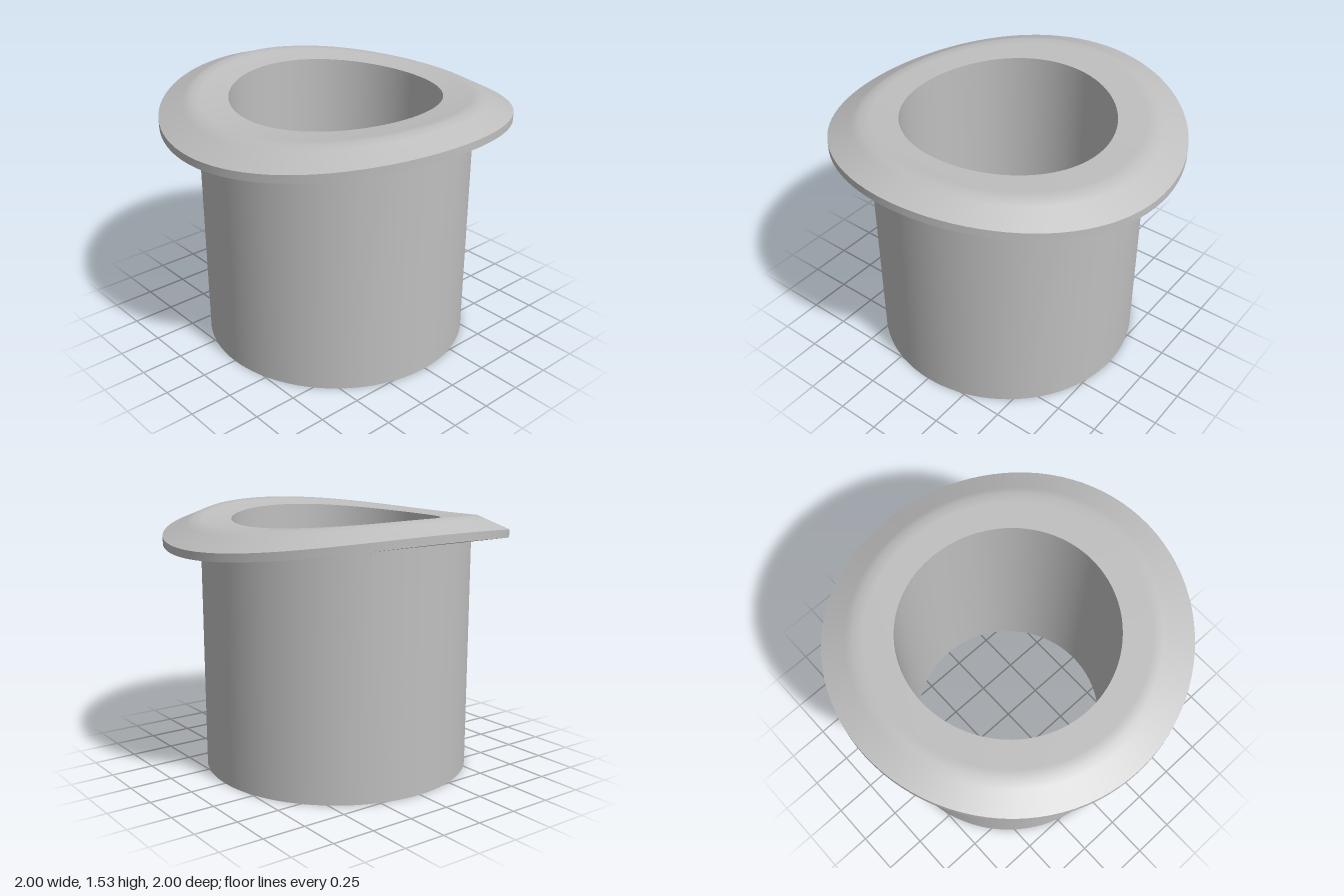
import * as THREE from 'three';

const SEGMENTS = 96;
const BEND = 0.108; // rise of the saddle toward front and back

// Sweeps a profile of [radius, height, bend] around y; height grows with bend * z^2.
// Every strip is smooth in itself and has a sharp edge to its neighbours.
function ringStrip(profile, steps = 1) {
  const rings = [];
  profile.forEach((p, i) => {
    if (i === 0) return rings.push(p);
    const q = profile[i - 1];
    for (let s = 1; s <= steps; s++) rings.push(p.map((v, k) => q[k] + (v - q[k]) * s / steps));
  });
  const positions = [], index = [];
  rings.forEach(([r, y, bend], i) => {
    for (let j = 0; j < SEGMENTS; j++) {
      const a = j / SEGMENTS * Math.PI * 2;
      const x = r * Math.sin(a), z = r * Math.cos(a);
      positions.push(x, y + bend * z * z, z);
      if (i === 0) continue;
      const k = (j + 1) % SEGMENTS, lo = (i - 1) * SEGMENTS, hi = i * SEGMENTS;
      index.push(lo + j, lo + k, hi + k, lo + j, hi + k, hi + j);
    }
  });
  const geometry = new THREE.BufferGeometry();
  geometry.setAttribute('position', new THREE.Float32BufferAttribute(positions, 3));
  geometry.setIndex(index);
  geometry.computeVertexNormals();
  return geometry;
}

export function createModel() {
  const grey = new THREE.MeshStandardMaterial({ color: 0xbfbfbf });
  grey.name = 'plain grey';

  const bore = 0.607, wall = 0.785, ridge = 0.82, rim = 1;
  const under = 1.315, rimTop = 1.36, top = 1.456;

  const model = new THREE.Group();
  model.name = 'saddleFlangeBushing';
  const add = (name, profile, steps) => {
    const mesh = new THREE.Mesh(ringStrip(profile, steps), grey);
    mesh.name = name;
    model.add(mesh);
  };

  // Tube
  add('tubeBase', [[bore, 0, 0], [wall, 0, 0]]);
  add('tubeOuterWall', [[wall, 0, 0], [wall, under, BEND]]);
  add('tubeBore', [[bore, top, BEND], [bore, 0, 0]]);

  // Curved flange with a bevelled upper edge
  add('flangeUnderside', [[wall, under, BEND], [rim, under, BEND]], 4);
  add('flangeRim', [[rim, under, BEND], [rim, rimTop, BEND]]);
  add('flangeTop', [[rim, rimTop, BEND], [ridge, top, BEND], [bore, top, BEND]], 4);

  return model;
}
